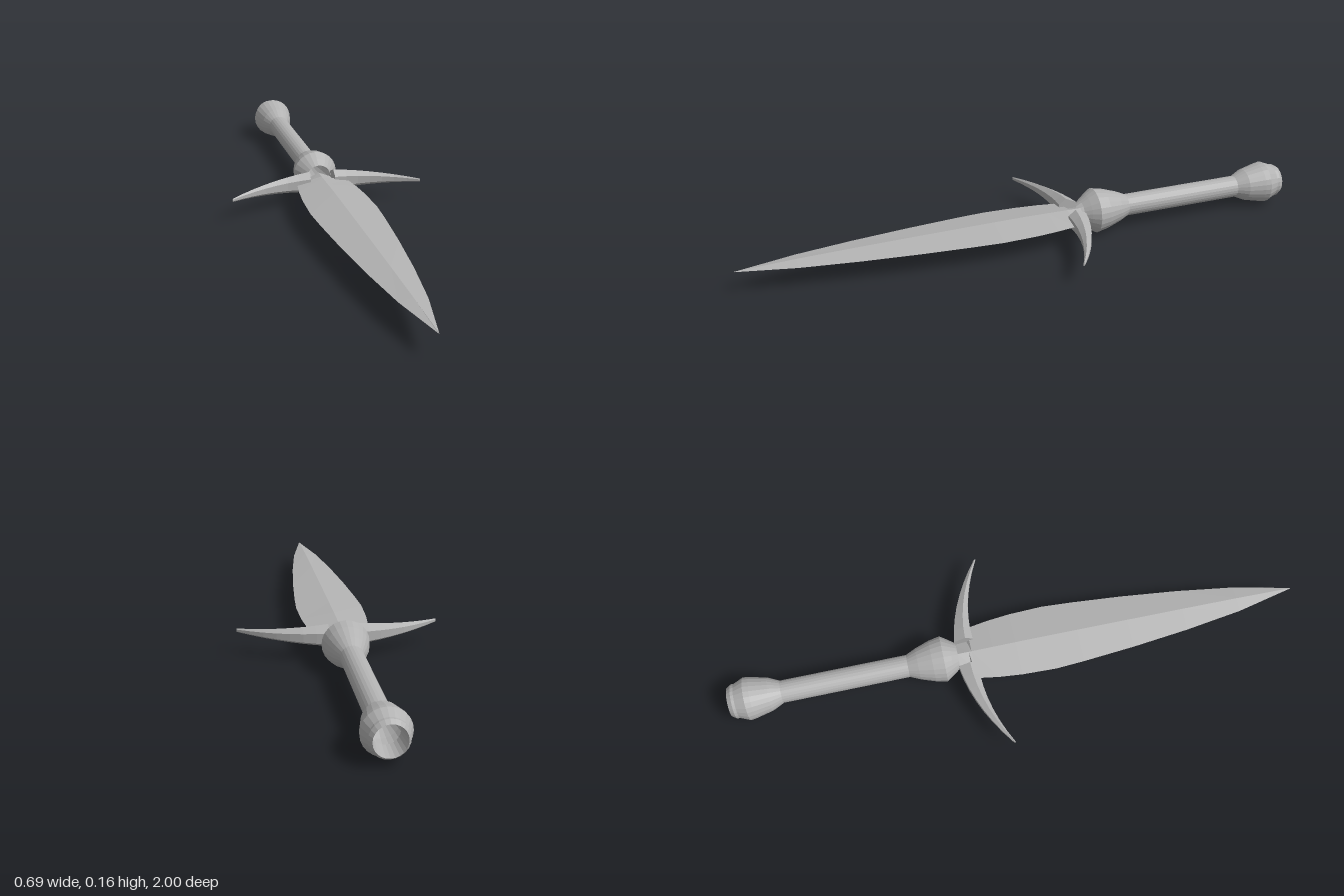
import * as THREE from 'three';

const AXIS_Y = 0.08; // height of the dagger's long axis

// Skin a list of closed rings (arrays of [x, y, z]), cap both ends, flat normals
function loft(rings) {
  const pos = [];
  const tri = (a, b, c) => pos.push(...a, ...b, ...c);
  const n = rings[0].length;
  for (let i = 0; i < rings.length - 1; i++) {
    for (let j = 0; j < n; j++) {
      const k = (j + 1) % n;
      const a = rings[i][j], b = rings[i][k], c = rings[i + 1][k], d = rings[i + 1][j];
      tri(a, b, c);
      tri(a, c, d);
    }
  }
  const first = rings[0], last = rings[rings.length - 1];
  for (let j = 1; j < n - 1; j++) {
    tri(first[0], first[j + 1], first[j]);
    tri(last[0], last[j], last[j + 1]);
  }
  const g = new THREE.BufferGeometry();
  g.setAttribute('position', new THREE.Float32BufferAttribute(pos, 3));
  g.computeVertexNormals();
  return g;
}

// Faceted turned part along z from [radius, z] pairs
function turned(profile) {
  const points = profile.map(([r, z]) => new THREE.Vector2(r, z));
  const g = new THREE.LatheGeometry(points, 24).rotateX(Math.PI / 2).toNonIndexed();
  g.computeVertexNormals();
  return g;
}

export function createModel() {
  const model = new THREE.Group();
  model.name = 'dagger';
  const steel = new THREE.MeshStandardMaterial({ color: 0xb2b2b2, side: THREE.DoubleSide });
  steel.name = 'grey steel';
  const add = (name, geometry) => {
    const mesh = new THREE.Mesh(geometry, steel);
    mesh.name = name;
    mesh.position.y = AXIS_Y;
    model.add(mesh);
  };

  // Blade: diamond sections of [z, half width, half thickness]
  const blade = [
    [-0.205, 0.042, 0.018], [-0.165, 0.045, 0.018], [-0.155, 0.094, 0.018],
    [-0.08, 0.106, 0.019], [0, 0.114, 0.02], [0.12, 0.118, 0.019], [0.22, 0.112, 0.018],
    [0.4, 0.097, 0.016], [0.6, 0.075, 0.013], [0.8, 0.046, 0.009], [1, 0.001, 0.001],
  ];
  add('blade', loft(blade.map(([z, w, t]) => [[w, 0, z], [0, t, z], [-w, 0, z], [0, -t, z]])));

  // Guard arms: bevelled sections sweeping forward, tapering to the tips
  for (const side of [1, -1]) {
    const rings = [];
    for (let i = 0; i <= 7; i++) {
      const t = i / 7;
      const x = side * (0.045 + 0.3 * t);
      const back = -0.208 + 0.04 * t + 0.09 * t * t;
      const front = back + 0.06 * (1 - t) + 0.006;
      const mid = back + 0.6 * (front - back);
      const h = 0.039 + (0.006 - 0.039) * t;
      const b = h * 0.5;
      const ring = [[x, h, mid], [x, b, front], [x, -b, front], [x, -h, mid], [x, -b, back], [x, b, back]];
      rings.push(side > 0 ? ring : ring.reverse());
    }
    add(side > 0 ? 'leftGuardArm' : 'rightGuardArm', loft(rings));
  }

  // Hollow grip with a flared collar behind the guard
  add('grip', turned([
    [0.039, -0.83], [0.039, -0.38], [0.055, -0.345], [0.072, -0.295], [0.08, -0.255],
    [0.062, -0.228], [0.045, -0.205],
  ]));

  // Pommel with an open, lipped end
  add('pommel', turned([
    [0.042, -0.93], [0.05, -1], [0.06, -0.985], [0.06, -0.975], [0.075, -0.94],
    [0.072, -0.92], [0.058, -0.86], [0.039, -0.82],
  ]));

  return model;
}
